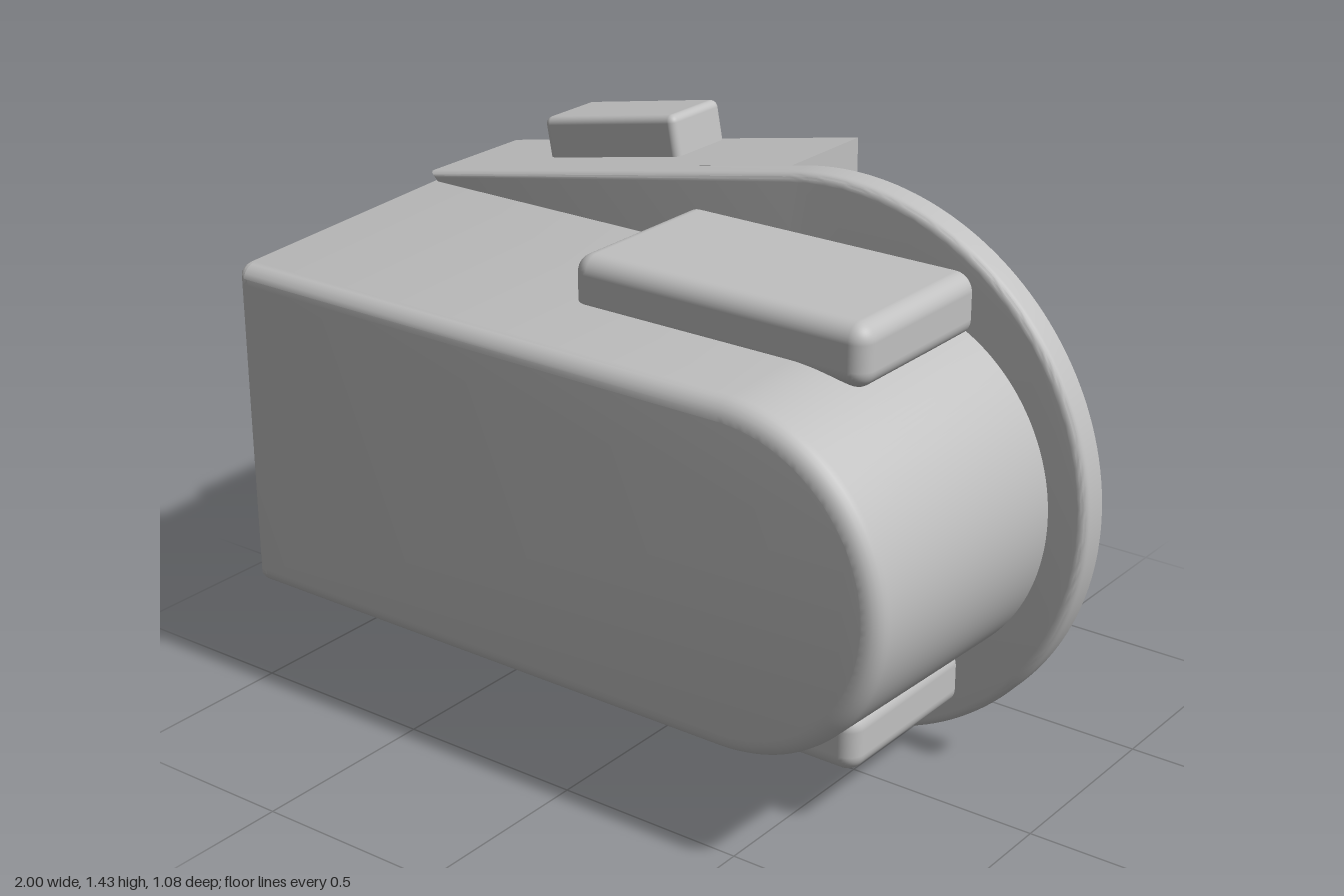
import * as THREE from 'three';
import { toCreasedNormals } from 'three/addons/utils/BufferGeometryUtils.js';
import { RoundedBoxGeometry } from 'three/addons/geometries/RoundedBoxGeometry.js';

const MID = 0.715; // height of the horizontal symmetry line
const R = 0.715; // flange radius
const CX = 0.285; // flange centre
const SLOPE = THREE.MathUtils.degToRad(10.7); // tilt of the straight flange edges

// Extrude from z0 to z1, rounding only the front rim
function frontRounded(shape, z0, z1, r) {
  const geo = new THREE.ExtrudeGeometry(shape, {
    depth: z1 - z0 - r, curveSegments: 48,
    bevelThickness: r, bevelSize: r, bevelOffset: -r, bevelSegments: 5,
  });
  const p = geo.attributes.position;
  for (let i = 0; i < p.count; i++) p.setZ(i, Math.max(0, p.getZ(i)) + z0);
  return geo;
}

export function createModel() {
  const group = new THREE.Group();
  const grey = new THREE.MeshStandardMaterial({ color: 0xc0c0c0 });
  grey.name = 'plain grey';
  const add = (name, geo) => {
    const mesh = new THREE.Mesh(geo, grey);
    mesh.name = name;
    group.add(mesh);
    return mesh;
  };

  // Main body: half-round end, flaring slightly towards the flange
  const half = 0.43, endX = 0.9, c = 0.03;
  const body = new THREE.Shape();
  body.moveTo(-1 + c, -half);
  body.absarc(endX - half, 0, half, -Math.PI / 2, Math.PI / 2, false);
  body.lineTo(-1 + c, half);
  body.absarc(-1 + c, half - c, c, Math.PI / 2, Math.PI, false);
  body.absarc(-1 + c, -half + c, c, Math.PI, Math.PI * 1.5, false);
  const bodyGeo = frontRounded(body, -0.24, 0.535, 0.045);
  const p = bodyGeo.attributes.position;
  for (let i = 0; i < p.count; i++) {
    const flare = 1 + 0.115 * (0.535 - p.getZ(i));
    p.setY(i, MID + p.getY(i) * flare);
  }
  add('body', toCreasedNormals(bodyGeo, 0.5));

  // Teardrop flange
  const a = Math.PI / 2 + SLOPE;
  const flange = new THREE.Shape();
  flange.moveTo(-1, 0.23);
  flange.absarc(CX, MID, R, -a, a, false);
  flange.lineTo(-1, 1.2);
  flange.closePath();
  add('flange', toCreasedNormals(frontRounded(flange, -0.255, -0.18, 0.022), 0.5));

  // Wedge-shaped block behind the flange
  const block = new THREE.Shape([[-1, 0.23], [0.112, 0.02], [0.112, 1.41], [-1, 1.2]]
    .map(([x, y]) => new THREE.Vector2(x, y)));
  const blockGeo = new THREE.ExtrudeGeometry(block, { depth: 0.29, bevelEnabled: false });
  add('rearBlock', blockGeo.translate(0, 0, -0.54));

  // Pads above and below the body
  for (const s of [1, -1]) {
    const pad = add(s > 0 ? 'upperPad' : 'lowerPad', new RoundedBoxGeometry(0.825, 0.155, 0.505, 5, 0.045));
    pad.position.set(0.258, MID + s * 0.482, 0.0125);
  }

  // Small tilted tab on the sloping top of the block
  const tab = add('topTab', new RoundedBoxGeometry(0.43, 0.14, 0.2, 4, 0.02));
  tab.position.set(-0.512, 1.328, -0.439);
  tab.rotation.z = SLOPE;

  return group;
}
